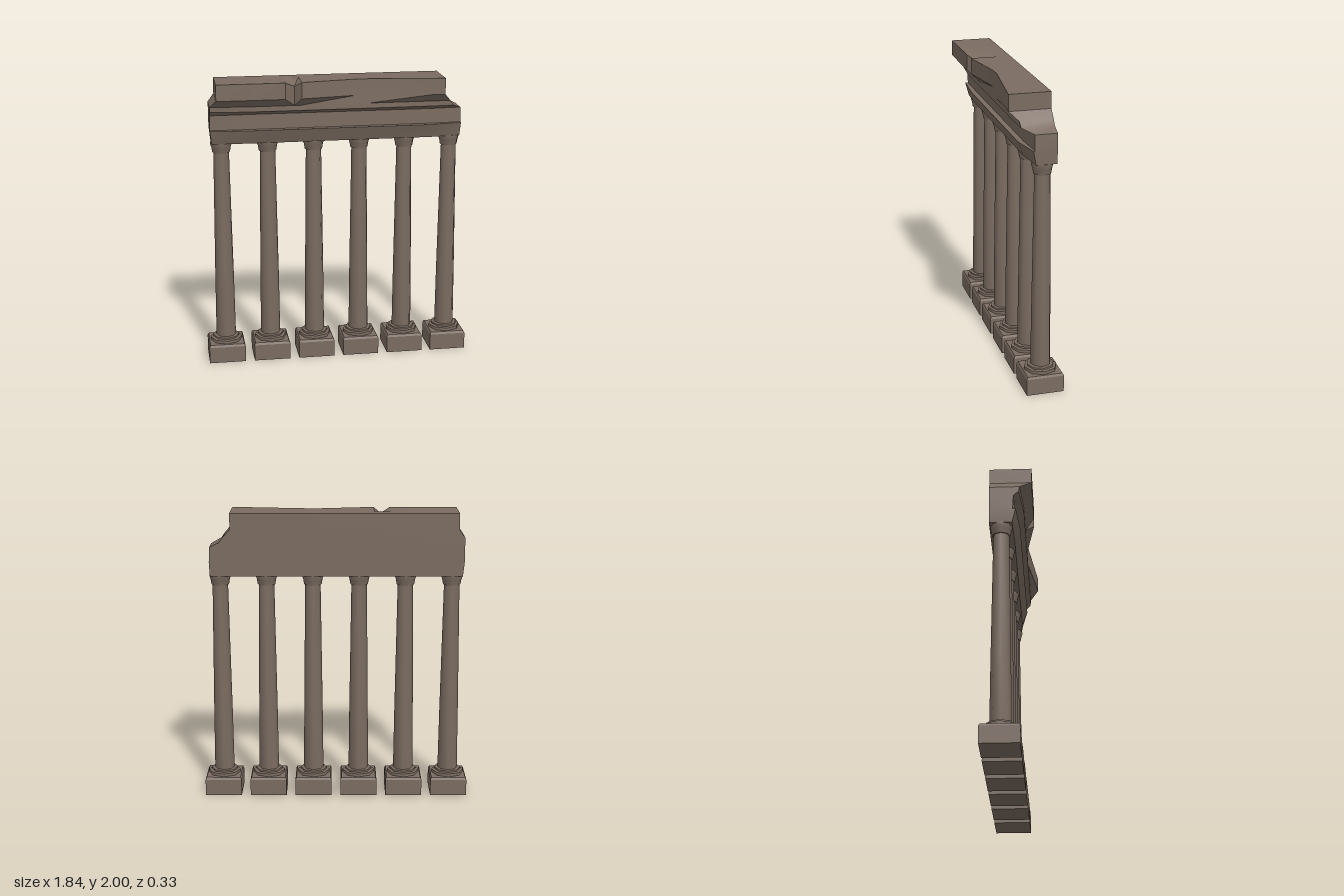
import * as THREE from 'three';
import { toCreasedNormals } from 'three/addons/utils/BufferGeometryUtils.js';

const COLUMN_Z = -0.038;

function lathe(profile, sides, crease) {
  const points = profile.map(([r, y]) => new THREE.Vector2(r, y));
  return toCreasedNormals(new THREE.LatheGeometry(points, sides), crease);
}

// Weathered beam: a ring of profile points at each station along x
function beamGeometry() {
  // y, front z, left end x, right end x, front z at the left end, front z at the right end
  const rows = [
    [1.57, 0.042, -0.86, 0.855, 0.035, 0.02],
    [1.666, 0.08, -0.87, 0.86, 0.06, 0.04],
    [1.667, 0.042, -0.87, 0.86, 0.04, 0.03],
    [1.77, 0.042, -0.87, 0.855, 0.045, 0.03],
    [1.80, 0.105, -0.87, 0.79, 0.08, 0.1],
    [1.835, 0.105, -0.87, 0.765, 0.085, 0.105],
    [1.89, 0.165, -0.83, 0.715, 0.165, 0.162],
    [2.0, 0.165, -0.83, 0.715, 0.165, 0.162],
  ];
  const stations = [null, -0.6, -0.37, -0.305, -0.26, 0.11, 0.2, 0.64, null];
  const cornice = [0.165, 0.165, 0.165, 0.11, 0.163, 0.1, 0.1, 0.153, 0.162];
  const last = stations.length - 1, n = rows.length, ring = 2 * n + 1;
  const positions = [], index = [];
  stations.forEach((station, s) => {
    const xAt = (r) => (s === 0 ? r[2] : s === last ? r[3] : station);
    rows.forEach((r, i) => {
      let z = s === 0 ? r[4] : s === last ? r[5] : r[1];
      if (i >= 6) z = cornice[s];
      const y = s === 3 && i === 7 ? 1.965 : r[0]; // crack in the top edge
      positions.push(xAt(r), y, z);
    });
    positions.push(xAt(rows[n - 1]), 2, -0.03);
    for (let i = n - 1; i >= 0; i--) positions.push(xAt(rows[i]), rows[i][0], -0.117);
  });
  for (let s = 0; s < last; s++) {
    for (let i = 0; i < ring; i++) {
      const j = (i + 1) % ring;
      const a = s * ring + i, b = s * ring + j, c = a + ring, d = b + ring;
      // mirror the diagonal beside the crack so that it forms an even notch
      if (s === 2) index.push(a, c, b, c, d, b);
      else index.push(a, c, d, a, d, b);
    }
  }
  // End faces, row by row from front to back
  for (let i = 0; i < n - 1; i++) {
    const quad = [i, i + 1, ring - 2 - i, ring - 1 - i];
    const [a, b, c, d] = quad;
    index.push(a, b, c, a, c, d);
    const [e, f, g, h] = quad.map((k) => k + last * ring);
    index.push(e, g, f, e, h, g);
  }
  // Top slivers of the ends
  const o = last * ring;
  index.push(n - 1, n, n + 1, o + n - 1, o + n + 1, o + n);
  const geometry = new THREE.BufferGeometry();
  geometry.setAttribute('position', new THREE.Float32BufferAttribute(positions, 3));
  geometry.setIndex(index);
  return toCreasedNormals(geometry, 0.6);
}

export function createModel() {
  const group = new THREE.Group();
  const stone = new THREE.MeshStandardMaterial({ color: 0x7b6c61 });
  stone.name = 'brown stone';

  const add = (parent, name, geometry) => {
    const mesh = new THREE.Mesh(geometry, stone);
    mesh.name = name;
    parent.add(mesh);
    return mesh;
  };

  // Square plinth with a bevelled top
  const k = Math.SQRT2;
  const plinth = lathe([[0, 0], [0.127 * k, 0], [0.127 * k, 0.115], [0.119 * k, 0.131], [0, 0.131]], 4, 0.3);
  plinth.rotateY(Math.PI / 4);

  // Eight-sided stepped base, tapering shaft and flared capital
  const base = lathe([[0.111, 0.13], [0.111, 0.152], [0.092, 0.156], [0.092, 0.168], [0.066, 0.17]], 8, 0.9);
  const shaft = lathe([[0.069, 0.165], [0.065, 0.6], [0.053, 1.51]], 8, 0.9);
  const capital = lathe([[0.05, 1.5], [0.06, 1.5], [0.066, 1.535], [0.073, 1.557], [0.073, 1.572], [0, 1.572]], 8, 0.9);

  for (let i = 0; i < 6; i++) {
    const column = new THREE.Group();
    column.name = 'column' + (i + 1);
    column.position.set((i - 2.5) * 0.3172, 0, COLUMN_Z);
    add(column, 'plinth', plinth);
    add(column, 'base', base);
    add(column, 'shaft', shaft);
    add(column, 'capital', capital);
    group.add(column);
  }

  add(group, 'entablature', beamGeometry());
  return group;
}
